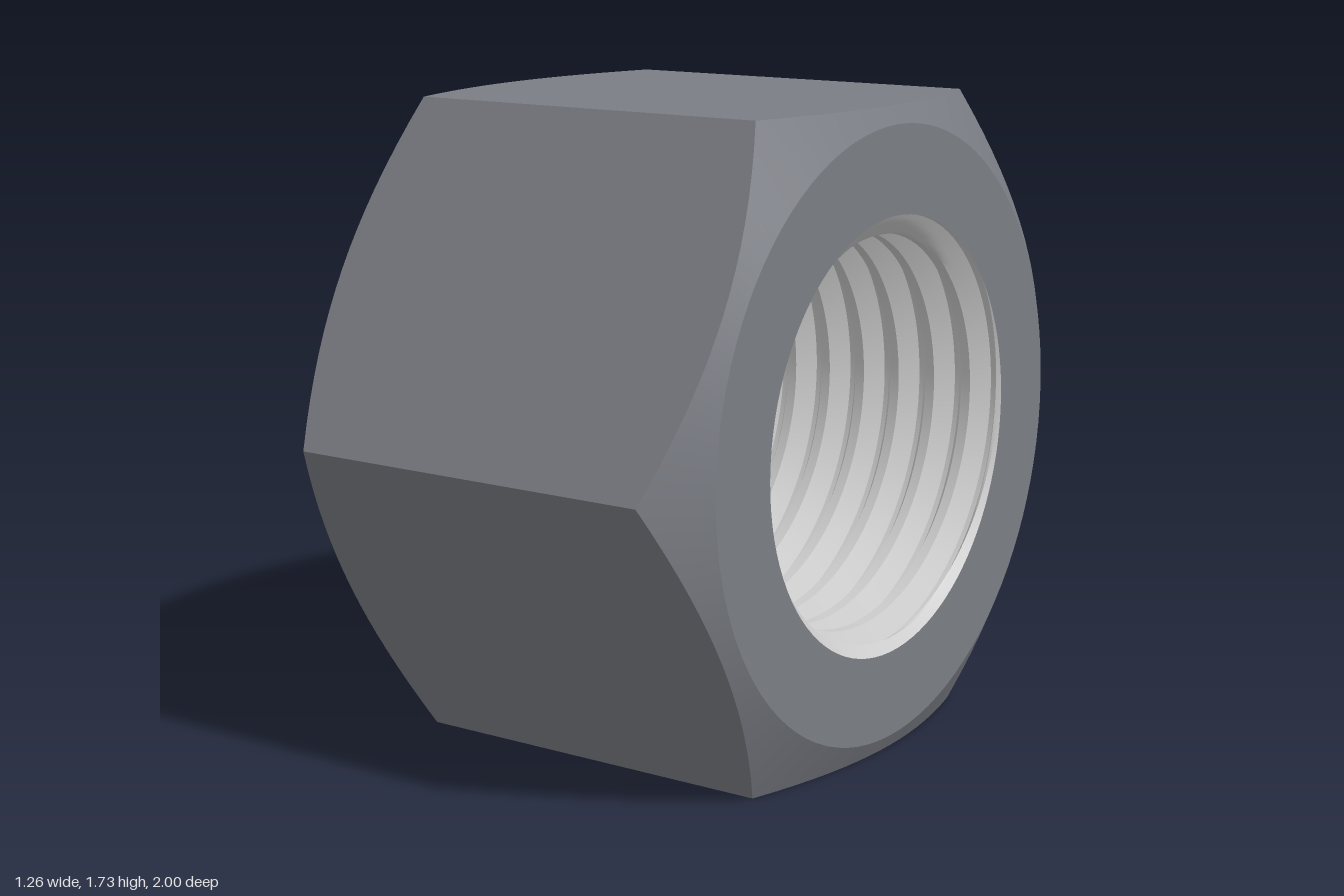
import * as THREE from 'three';
import { toCreasedNormals } from 'three/addons/utils/BufferGeometryUtils.js';

const HALF = 0.63;            // half thickness along x
const APOTHEM = Math.sqrt(3) / 2;
const FACE_R = 0.82;          // flat round end face
const MOUTH_R = 0.585, CREST_R = 0.53;
const PITCH = 0.115, STEPS = 16, SEGS = 96;

// Grid surface; point(theta, row) returns [x, radius] around the x axis.
function surface(point, a0, a1, segs, rows, inward = false) {
  const pos = [], index = [];
  for (let j = 0; j <= rows; j++) {
    for (let i = 0; i <= segs; i++) {
      const a = a0 + (a1 - a0) * i / segs;
      const [x, r] = point(a, j);
      pos.push(x, r * Math.cos(a), r * Math.sin(a));
    }
  }
  for (let j = 0; j < rows; j++) {
    for (let i = 0; i < segs; i++) {
      const a = j * (segs + 1) + i, b = a + 1, c = a + segs + 1, d = c + 1;
      if (inward) index.push(a, c, b, b, c, d);
      else index.push(a, b, c, b, d, c);
    }
  }
  const g = new THREE.BufferGeometry();
  g.setAttribute('position', new THREE.Float32BufferAttribute(pos, 3));
  g.setIndex(index);
  g.computeVertexNormals();
  return g;
}

// Hexagon radius at an angle, and where the 30 degree chamfer meets it.
function hexRadius(a) {
  const s = Math.PI / 3;
  return APOTHEM / Math.cos(a - Math.round(a / s) * s);
}
const hexEdge = (a) => HALF - (hexRadius(a) - FACE_R) * Math.tan(Math.PI / 6);

// Trapezoid thread cut, opened by a 45 degree lead-in at both ends.
function boreRadius(x, a) {
  let t = x / PITCH - a / (2 * Math.PI);
  t -= Math.floor(t);
  const d = Math.abs(t - 0.5);                  // 0 at root, 0.5 at crest
  const cut = THREE.MathUtils.clamp((0.375 - d) / 0.3125, 0, 1);
  const thread = CREST_R + (MOUTH_R - CREST_R) * cut;
  return Math.max(thread, MOUTH_R - (HALF - Math.abs(x)));
}

export function createModel() {
  const nut = new THREE.Group();
  nut.name = 'hexNut';
  const steel = new THREE.MeshStandardMaterial({ color: 0x7a7d84 });
  const bright = new THREE.MeshStandardMaterial({ color: 0xcccccc });
  const add = (name, geometry, material) => {
    const mesh = new THREE.Mesh(geometry, material);
    mesh.name = name;
    nut.add(mesh);
  };
  const TAU = Math.PI * 2;

  // Six flats with curved ends
  for (let k = 0; k < 6; k++) {
    const mid = k * Math.PI / 3;
    add('flat' + (k + 1), surface(
      (a, j) => [(j ? 1 : -1) * hexEdge(a), hexRadius(a)],
      mid - Math.PI / 6, mid + Math.PI / 6, SEGS / 6, 1), steel);
  }

  // Conical chamfer and round end face on both ends
  for (const [side, s] of [['left', 1], ['right', -1]]) {
    add(side + 'Chamfer', surface(
      (a, j) => j ? [s * hexEdge(a), hexRadius(a)] : [s * HALF, FACE_R],
      0, TAU, SEGS, 1, s > 0), steel);
    add(side + 'EndFace', surface(
      (a, j) => [s * HALF, j ? FACE_R : MOUTH_R],
      0, TAU, SEGS, 1, s > 0), steel);
  }

  // Helical thread: rows follow the helix and are clipped at the end faces
  const turns = Math.ceil(HALF / PITCH) + 1;
  const thread = surface((a, j) => {
    const along = (j / STEPS - turns + a / TAU) * PITCH;
    const x = THREE.MathUtils.clamp(along, -HALF, HALF);
    return [x, boreRadius(x, a)];
  }, 0, TAU, SEGS, 2 * turns * STEPS, true);
  add('thread', toCreasedNormals(thread, Math.PI / 6), bright);

  nut.position.y = APOTHEM;
  const model = new THREE.Group();
  model.name = 'nutModel';
  model.add(nut);
  return model;
}
